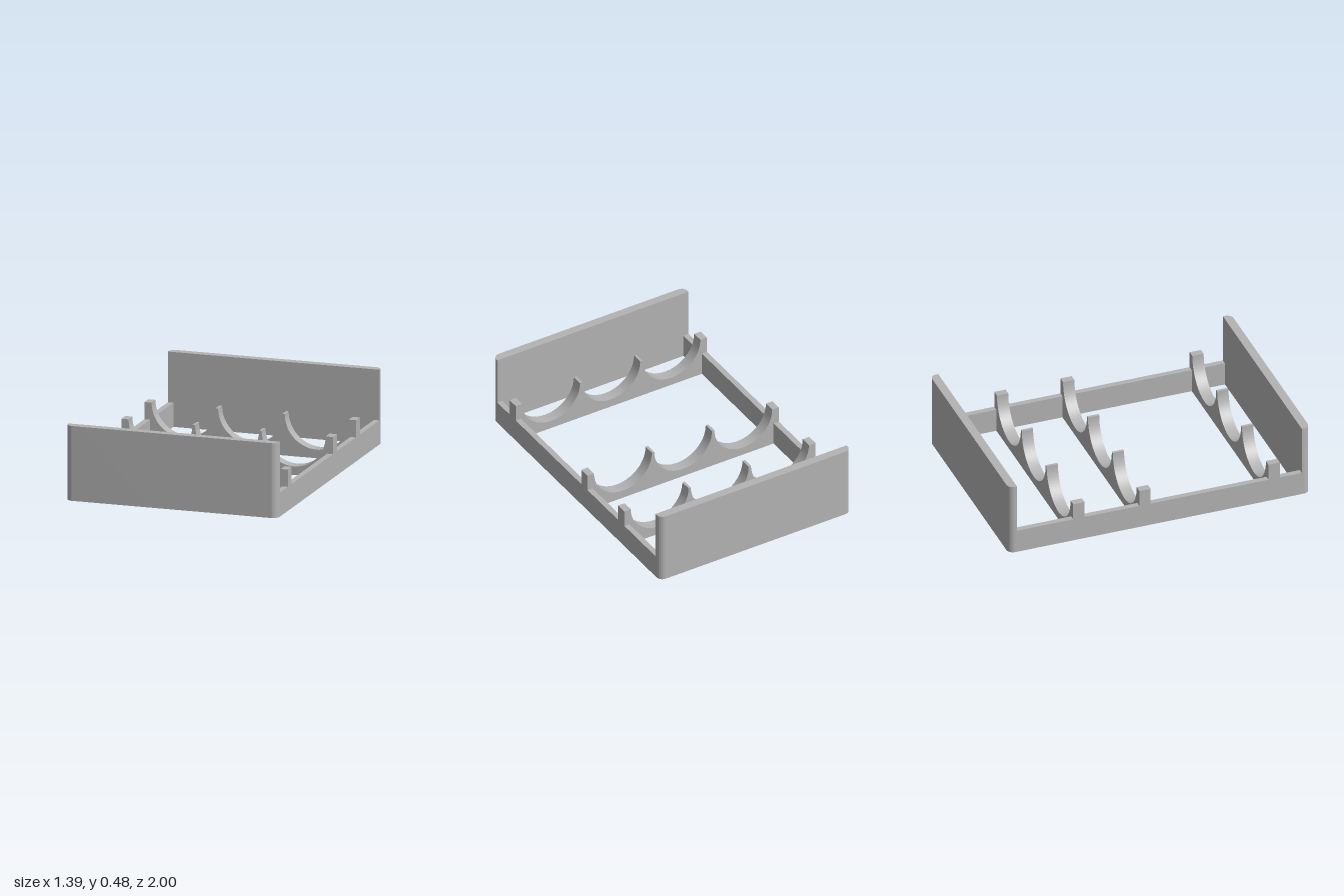
import * as THREE from 'three';
import { toCreasedNormals } from 'three/addons/utils/BufferGeometryUtils.js';

const HALF_W = 0.695, RAIL_T = 0.037, RAIL_H = 0.155;
const PANEL_H = 0.48, PANEL_Z = 0.945, CORNER = 0.042;
const POST_H = 0.265, CRADLE_T = 0.075;
const CRADLE_Z = [-0.535, -0.096, 0.762];
const SCOOP_X = [-0.4375, 0, 0.4375], SCOOP_R = 0.21;

export function createModel() {
  const group = new THREE.Group();
  const grey = new THREE.MeshStandardMaterial({ color: 0xb3b3b3 });
  grey.name = 'grey';

  const extrude = (shape, depth) => toCreasedNormals(
    new THREE.ExtrudeGeometry(shape, { depth, bevelEnabled: false, curveSegments: 24 }), 0.6);
  const add = (name, geometry) => {
    const mesh = new THREE.Mesh(geometry, grey);
    mesh.name = name;
    group.add(mesh);
    return mesh;
  };

  // Tall end panels, footprint with rounded outer corners
  const foot = new THREE.Shape();
  foot.moveTo(-HALF_W, -PANEL_Z);
  foot.lineTo(-HALF_W, -1 + CORNER);
  foot.absarc(-HALF_W + CORNER, -1 + CORNER, CORNER, Math.PI, Math.PI * 1.5, false);
  foot.lineTo(HALF_W - CORNER, -1);
  foot.absarc(HALF_W - CORNER, -1 + CORNER, CORNER, -Math.PI / 2, 0, false);
  foot.lineTo(HALF_W, -PANEL_Z);
  foot.closePath();
  const panel = extrude(foot, PANEL_H).rotateX(-Math.PI / 2);
  add('frontPanel', panel);
  add('backPanel', panel).rotation.y = Math.PI;

  // Side rails, profile (z, y) with a raised post at each cradle
  const side = new THREE.Shape();
  side.moveTo(-PANEL_Z, 0);
  side.lineTo(-PANEL_Z, RAIL_H);
  for (const z of CRADLE_Z) {
    const a = z - CRADLE_T / 2, b = z + CRADLE_T / 2;
    side.lineTo(a, RAIL_H);
    side.lineTo(a, POST_H);
    side.lineTo(b, POST_H);
    side.lineTo(b, RAIL_H);
  }
  side.lineTo(PANEL_Z, RAIL_H);
  side.lineTo(PANEL_Z, 0);
  side.closePath();
  // shape x becomes z, extrusion runs towards -x
  const rail = extrude(side, RAIL_T).rotateY(-Math.PI / 2);
  add('leftRail', rail).position.x = HALF_W;
  add('rightRail', rail).position.x = -HALF_W + RAIL_T;

  // Cross cradles with three half-round scoops
  const inner = HALF_W - RAIL_T;
  const bar = new THREE.Shape();
  bar.moveTo(-inner, 0);
  bar.lineTo(-inner, POST_H);
  for (const x of SCOOP_X) {
    bar.lineTo(x - SCOOP_R, POST_H);
    bar.absarc(x, POST_H, SCOOP_R, Math.PI, Math.PI * 2, false);
  }
  bar.lineTo(inner, POST_H);
  bar.lineTo(inner, 0);
  bar.closePath();
  const cradle = extrude(bar, CRADLE_T).translate(0, 0, -CRADLE_T / 2);
  CRADLE_Z.forEach((z, i) => {
    add(`cradle${i + 1}`, cradle).position.z = z;
  });

  return group;
}
